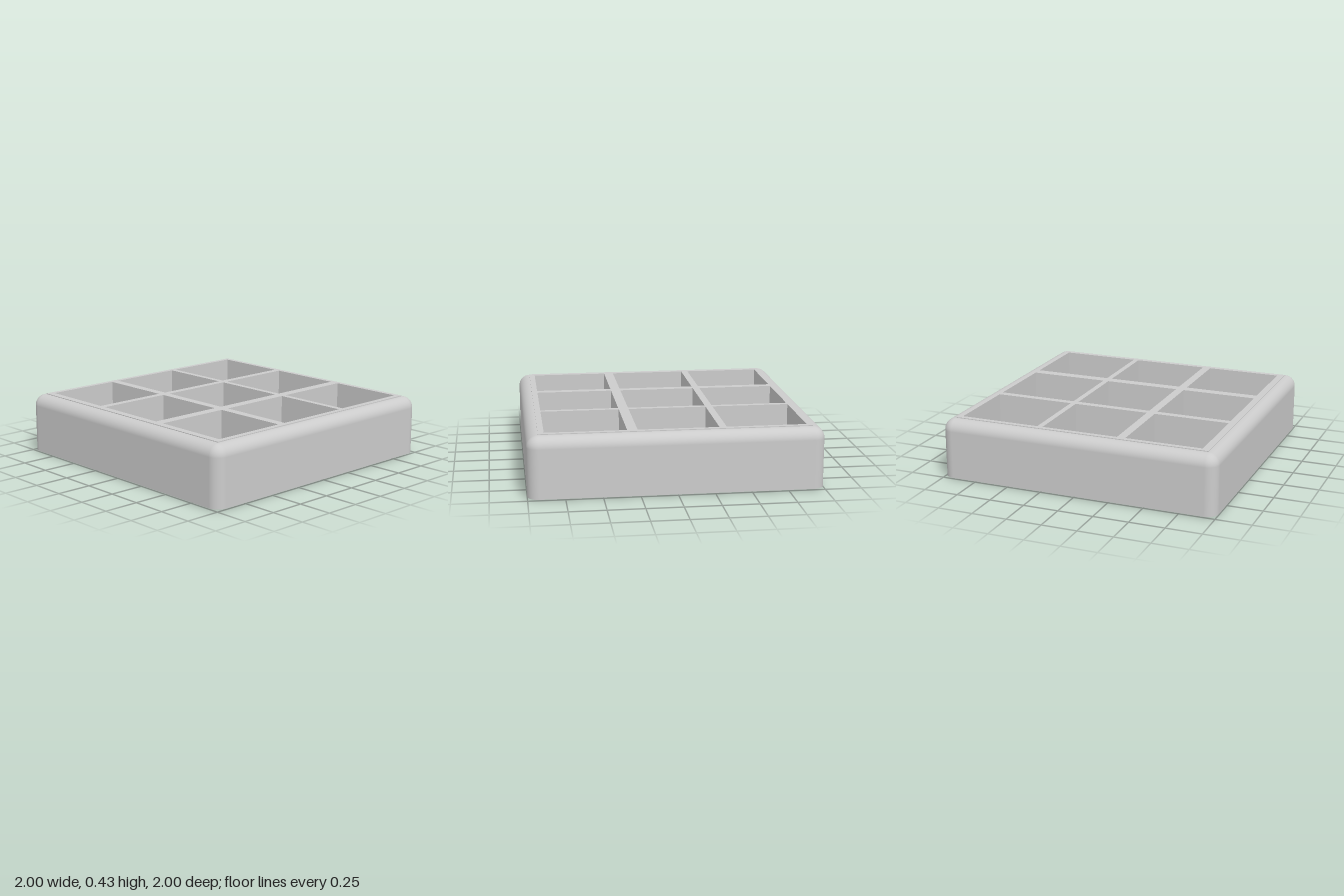
import * as THREE from 'three';

const HALF = 0.92, RADIUS = 0.08;     // core half width, edge rounding
const TOP = 0.43, FLOOR = 0.04;       // rim height, compartment floor height
const COLUMNS = [[-0.885, -0.34], [-0.29, 0.26], [0.33, 0.88]];  // x ranges
const ROWS = [[-0.885, -0.315], [-0.275, 0.27], [0.33, 0.87]];   // z ranges

// Frame skin: a profile [offset, y, normal out, normal up] swept round a square
function frameGeometry() {
  const bottom = 0.006, shoulder = 0.425 - RADIUS, steps = 10;
  const profile = [[0, bottom, 0, -1], [RADIUS, bottom, 0, -1], [RADIUS, bottom, 1, 0]];
  for (let i = 0; i <= steps; i++) {
    const t = (i / steps) * Math.PI / 2, c = Math.cos(t), s = Math.sin(t);
    profile.push([RADIUS * c, shoulder + RADIUS * s, c, s]);
  }
  const corners = [[1, 1], [-1, 1], [-1, -1], [1, -1]];
  const count = 4 * (steps + 1), pos = [], nor = [], index = [];
  for (const [r, y, out, up] of profile) {
    corners.forEach(([cx, cz], q) => {
      for (let k = 0; k <= steps; k++) {
        const a = (q + k / steps) * Math.PI / 2, c = Math.cos(a), s = Math.sin(a);
        pos.push(cx * HALF + r * c, y, cz * HALF + r * s);
        nor.push(out * c, up, out * s);
      }
    });
  }
  for (let i = 0; i < profile.length - 1; i++) {
    if (i === 1) continue; // hard bottom edge
    for (let j = 0; j < count; j++) {
      const a = i * count + j, b = i * count + (j + 1) % count;
      index.push(a, a + count, b, b, a + count, b + count);
    }
  }
  const g = new THREE.BufferGeometry();
  g.setAttribute('position', new THREE.Float32BufferAttribute(pos, 3));
  g.setAttribute('normal', new THREE.Float32BufferAttribute(nor, 3));
  g.setIndex(index);
  return g;
}

function rectangle(path, x0, x1, z0, z1) {
  path.moveTo(x0, z0);
  path.lineTo(x1, z0);
  path.lineTo(x1, z1);
  path.lineTo(x0, z1);
  path.closePath();
  return path;
}

export function createModel() {
  const group = new THREE.Group();
  const material = new THREE.MeshStandardMaterial({ color: 0xcccccc });
  const add = (name, geometry) => {
    const mesh = new THREE.Mesh(geometry, material);
    mesh.name = name;
    group.add(mesh);
    return mesh;
  };

  // Rounded outer frame
  add('outerFrame', frameGeometry());

  // Divider grid with nine square compartments
  const grid = rectangle(new THREE.Shape(), -HALF, HALF, -HALF, HALF);
  for (const [x0, x1] of COLUMNS) {
    for (const [z0, z1] of ROWS) {
      grid.holes.push(rectangle(new THREE.Path(), x0, x1, z0, z1));
    }
  }
  const dividers = new THREE.ExtrudeGeometry(grid, { depth: TOP - FLOOR, bevelEnabled: false });
  dividers.rotateX(Math.PI / 2);
  add('compartmentDividers', dividers).position.y = TOP;

  // Floor slab closing the compartments
  add('floor', new THREE.BoxGeometry(2 * HALF, FLOOR, 2 * HALF)).position.y = FLOOR / 2;

  return group;
}
